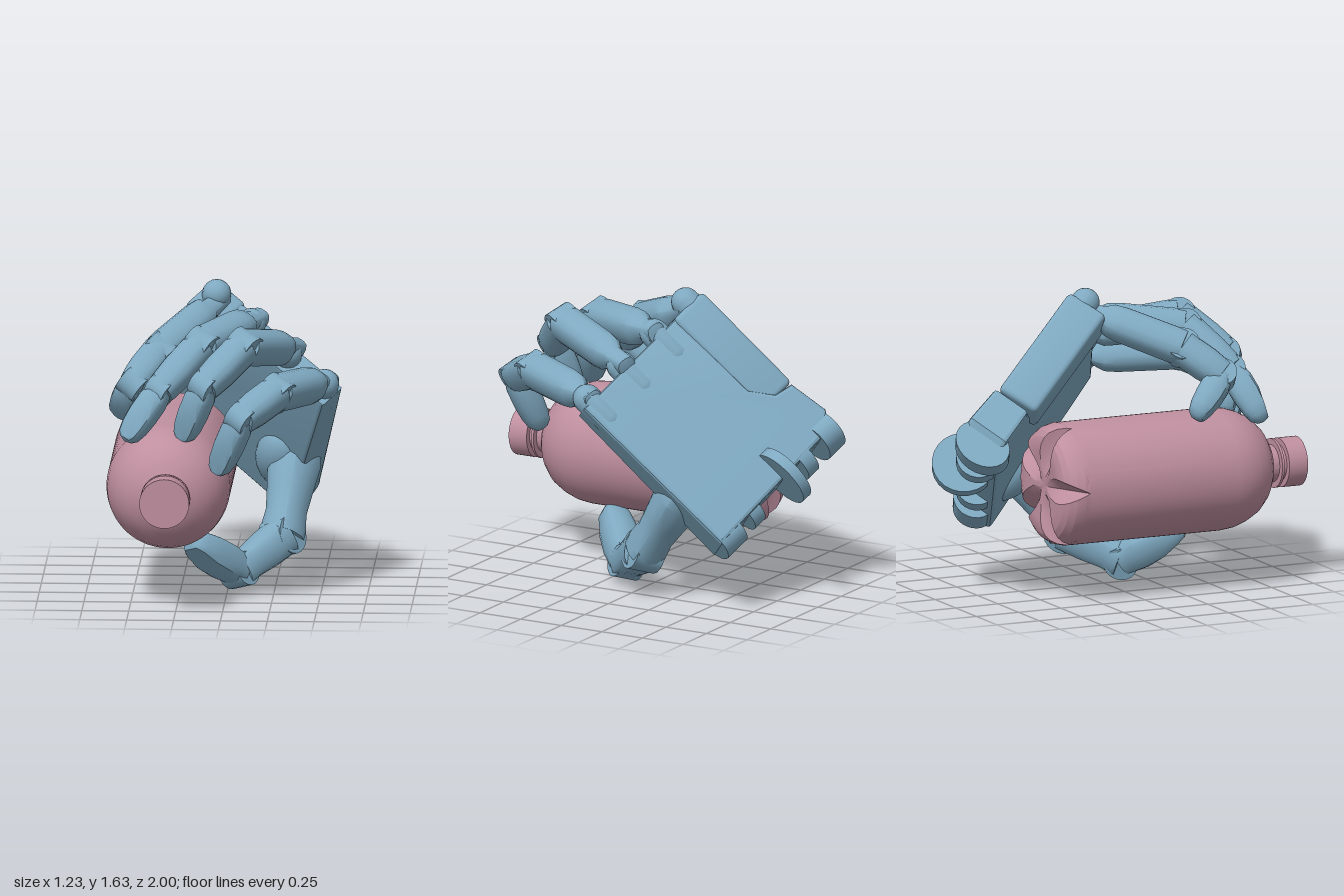
import * as THREE from 'three';
import { toCreasedNormals } from 'three/addons/utils/BufferGeometryUtils.js';
import { RoundedBoxGeometry } from 'three/addons/geometries/RoundedBoxGeometry.js';

const V = (x, y, z) => new THREE.Vector3(x, y, z);
const blue = new THREE.MeshStandardMaterial({ color: 0x7fa9c1 });
const rose = new THREE.MeshStandardMaterial({ color: 0xbf8f9f });

function add(parent, name, geometry, material, crease = 0.6) {
  const mesh = new THREE.Mesh(toCreasedNormals(geometry, crease), material);
  mesh.name = name;
  parent.add(mesh);
  return mesh;
}

const lathe = (pts, sides, start = 0) =>
  new THREE.LatheGeometry(pts.map(([r, y]) => new THREE.Vector2(r, y)), sides, start);

// Move every vertex of a geometry by a rule
function warp(geometry, rule) {
  const p = geometry.attributes.position, v = V(0, 0, 0);
  for (let i = 0; i < p.count; i++) {
    rule(v.fromBufferAttribute(p, i));
    p.setXYZ(i, v.x, v.y, v.z);
  }
  return geometry;
}

// Bottle lying along z, with five V grooves pressed into its base
function buildBottle() {
  const bottle = new THREE.Group();
  bottle.name = 'bottle';
  bottle.position.set(-0.3, 0.633, 0);
  const first = 3.44, step = Math.PI * 0.4;
  const body = lathe([[0, -0.5], [0.05, -0.505], [0.1, -0.51], [0.15, -0.515], [0.19, -0.52],
    [0.23, -0.52], [0.265, -0.51], [0.295, -0.49], [0.318, -0.455], [0.33, -0.41], [0.33, -0.37],
    [0.33, 0.5], [0.322, 0.57], [0.3, 0.635], [0.265, 0.7], [0.215, 0.75], [0.16, 0.785],
    [0.12, 0.8], [0.1, 0.81], [0.1, 0.9]], 80, first);
  warp(body, (v) => {
    const r = Math.hypot(v.x, v.z);
    if (v.y > -0.38 || r < 0.01) return;
    // Slide the columns of each sector so that one lies on the groove's edge
    const angle = Math.atan2(v.x, v.z) - first;
    const sector = Math.round(angle / step), f = angle / step - sector;
    const half = Math.max(0, 0.13 - (v.y + 0.52) * 0.32 / r) / 2;
    const edge = Math.min(Math.asin(Math.min(1, half / r)), step * 0.44);
    const t = Math.abs(f) * 16;
    const d = t <= 3 ? edge * t / 3 : edge + (step / 2 - edge) * (t - 3) / 5;
    const a = first + sector * step + Math.sign(f) * d;
    v.set(r * Math.sin(a), Math.max(v.y, -0.52 + (0.13 - 2 * r * Math.sin(d)) * r / 0.32), r * Math.cos(a));
  });
  add(bottle, 'bottleBody', body.rotateX(Math.PI / 2), rose, 0.3);
  const ring = (name, r, z0, z1) =>
    add(bottle, name, lathe([[0, z0], [r, z0], [r, z1], [0, z1]], 40).rotateX(Math.PI / 2), rose);
  ring('neckRing', 0.133, 0.848, 0.862);
  ring('bottleCap', 0.133, 0.89, 1);
  return bottle;
}

// Palm frame: x runs toward the index finger, y toward the fingers, z out of the palm
function buildPalm() {
  const palm = new THREE.Group();
  palm.name = 'palm';
  const x = V(0.757, -0.556, 0.343).normalize();
  const z = x.clone().cross(V(0.15, 0.66, 0.74)).normalize();
  const y = z.clone().cross(x);
  palm.quaternion.setFromRotationMatrix(new THREE.Matrix4().makeBasis(x, y, z));
  palm.position.set(0.62, 1.13, 0.12);

  // Main slab, thicker toward the wrist
  const outline = [[-0.02, -0.07], [-0.7, -0.07], [-0.7, -0.6], [-0.8, -0.73], [-0.9, -0.75],
    [-0.93, -0.95], [-0.88, -1.03], [-0.02, -1.06]].map(([a, b]) => new THREE.Vector2(a, b));
  const slab = new THREE.ExtrudeGeometry(new THREE.Shape(outline),
    { depth: 0.18, bevelThickness: 0.02, bevelSize: 0.02, bevelSegments: 2 });
  slab.translate(0, 0, 0.02);
  warp(slab, (v) => { v.z *= 0.72 - 0.4 * v.y; });
  add(palm, 'palmSlab', slab, blue, 0.3);

  // Hinged block carrying the little finger
  const block = add(palm, 'littleFingerBlock', new RoundedBoxGeometry(0.23, 0.68, 0.24, 2, 0.03), blue);
  block.position.set(-0.82, -0.38, 0.12);
  block.rotation.x = -0.05;

  // Rounded knuckle housings, flush with the back of the hand
  for (const a of [-0.075, -0.34, -0.6, -0.85]) {
    const housing = add(palm, 'knuckleHousing', new THREE.CapsuleGeometry(0.078, 0.16, 6, 16), blue);
    housing.position.set(a, -0.1, 0.07);
  }

  // Rounded wrist plates, all turning about x
  const plate = (name, a, b, c, r, w, stretch = 1) => {
    const m = add(palm, name, new THREE.CylinderGeometry(r, r, w, 24).rotateZ(Math.PI / 2), blue);
    m.position.set(a, b, c);
    m.scale.z = stretch;
  };
  plate('wristTab', -0.08, -1.05, 0.12, 0.1, 0.15, 1.15);
  plate('wristTab', -0.27, -1.03, 0.12, 0.11, 0.08);
  plate('wristDisc', -0.53, -1.05, 0.04, 0.17, 0.06);
  plate('wristTab', -0.68, -1.03, 0.12, 0.12, 0.08);
  plate('wristTab', -0.87, -1.03, 0.14, 0.12, 0.12, 1.3);

  // Socket at the root of the thumb
  const socket = add(palm, 'thumbSocket', new THREE.SphereGeometry(0.17, 20, 14), blue);
  socket.position.set(-0.17, -0.78, 0.18);
  socket.scale.set(0.85, 1.25, 0.75);
  return palm;
}

// One segment from p to q; x is the bend axis and -z the outer side of the digit
function addSegment(group, name, p, q, axis, profile, nail) {
  const dir = q.clone().sub(p), len = dir.length();
  const y = dir.normalize();
  const x = axis.clone().addScaledVector(y, -axis.dot(y)).normalize();
  const z = x.clone().cross(y);
  const geo = lathe(profile(len), 16);
  warp(geo, (v) => {
    // Rounded-square cross-section, with the nail cut flat
    const r = Math.hypot(v.x, v.z) || 1;
    const k = 0.93 / Math.cbrt(Math.abs(v.x / r) ** 3 + Math.abs(v.z / r) ** 3 || 1);
    v.x *= k;
    v.z *= k;
    if (nail) v.z = Math.max(v.z, -nail * (1.5 - 1.05 * v.y / len));
  });
  const m = add(group, name, geo, blue, 0.7);
  m.quaternion.setFromRotationMatrix(new THREE.Matrix4().makeBasis(x, y, z));
  m.position.copy(p);
}

function buildDigit(name, joints, profiles, hinges, nail) {
  const group = new THREE.Group();
  group.name = name;
  const j = joints.map((c) => V(...c));
  const axis = j[1].clone().sub(j[0]).cross(j[3].clone().sub(j[2])).normalize();
  ['proximalSegment', 'middleSegment', 'tipSegment'].forEach((part, i) =>
    addSegment(group, part, j[i], j[i + 1], axis, profiles[i], i === 2 ? nail : 0));
  // Hinge barrels lying along the bend axis, flush with the segments
  hinges.forEach((r, i) => {
    const barrel = add(group, 'hingeBarrel', new THREE.CylinderGeometry(r, r, r * 1.5, 20), blue);
    barrel.quaternion.setFromUnitVectors(V(0, 1, 0), axis);
    barrel.position.copy(j[i + 1]);
  });
  return group;
}

const fingerProfiles = [
  (l) => [[0, -0.04], [0.055, -0.03], [0.06, 0.1], [0.09, 0.15], [0.098, 0.22], [0.1, l - 0.05],
    [0.096, l], [0, l]],
  (l) => [[0, 0], [0.096, 0], [0.096, l * 0.6], [0.088, l - 0.03], [0.082, l], [0, l]],
  (l) => [[0, 0], [0.068, 0], [0.074, 0.03], [0.083, 0.07], [0.083, l * 0.5], [0.076, l * 0.75],
    [0.062, l * 0.91], [0.038, l * 0.99], [0, l + 0.01]],
];
const thumbProfiles = [
  (l) => [[0, -0.12], [0.08, -0.095], [0.125, -0.03], [0.138, 0.05], [0.118, l * 0.45], [0.105, l * 0.7],
    [0.115, l - 0.05], [0.112, l], [0, l]],
  (l) => [[0, 0], [0.112, 0], [0.108, l * 0.4], [0.095, l * 0.75], [0.098, l - 0.02], [0.096, l], [0, l]],
  (l) => [[0, 0], [0.09, 0], [0.096, 0.06], [0.103, 0.12], [0.1, l * 0.6], [0.085, l * 0.85],
    [0.055, l * 0.97], [0, l + 0.01]],
];

export function createModel() {
  const model = new THREE.Group();
  model.name = 'handHoldingBottle';
  model.add(buildBottle(), buildPalm());

  // Joints of each finger: knuckle, two hinges, tip
  const fingers = {
    indexFinger: [[0.53, 1.13, 0.09], [0.28, 1.16, 0.58], [0.1, 1.06, 0.8], [-0.03, 0.75, 0.72]],
    middleFinger: [[0.35, 1.29, -0.01], [0.1, 1.39, 0.5], [-0.1, 1.21, 0.68], [-0.22, 0.91, 0.62]],
    ringFinger: [[0.15, 1.43, -0.08], [-0.13, 1.38, 0.42], [-0.34, 1.17, 0.59], [-0.52, 0.92, 0.69]],
    littleFinger: [[-0.06, 1.51, -0.15], [-0.36, 1.32, 0.29], [-0.49, 1.18, 0.46], [-0.57, 0.98, 0.27]],
  };
  for (const [name, joints] of Object.entries(fingers))
    model.add(buildDigit(name, joints, fingerProfiles, [0.09, 0.077], 0.075));

  model.add(buildDigit('thumb',
    [[0.34, 0.64, -0.37], [0.28, 0.25, -0.09], [0.06, 0.11, 0.14], [-0.19, 0.31, 0.38]],
    thumbProfiles, [0.106, 0.092], 0.085));
  return model;
}
